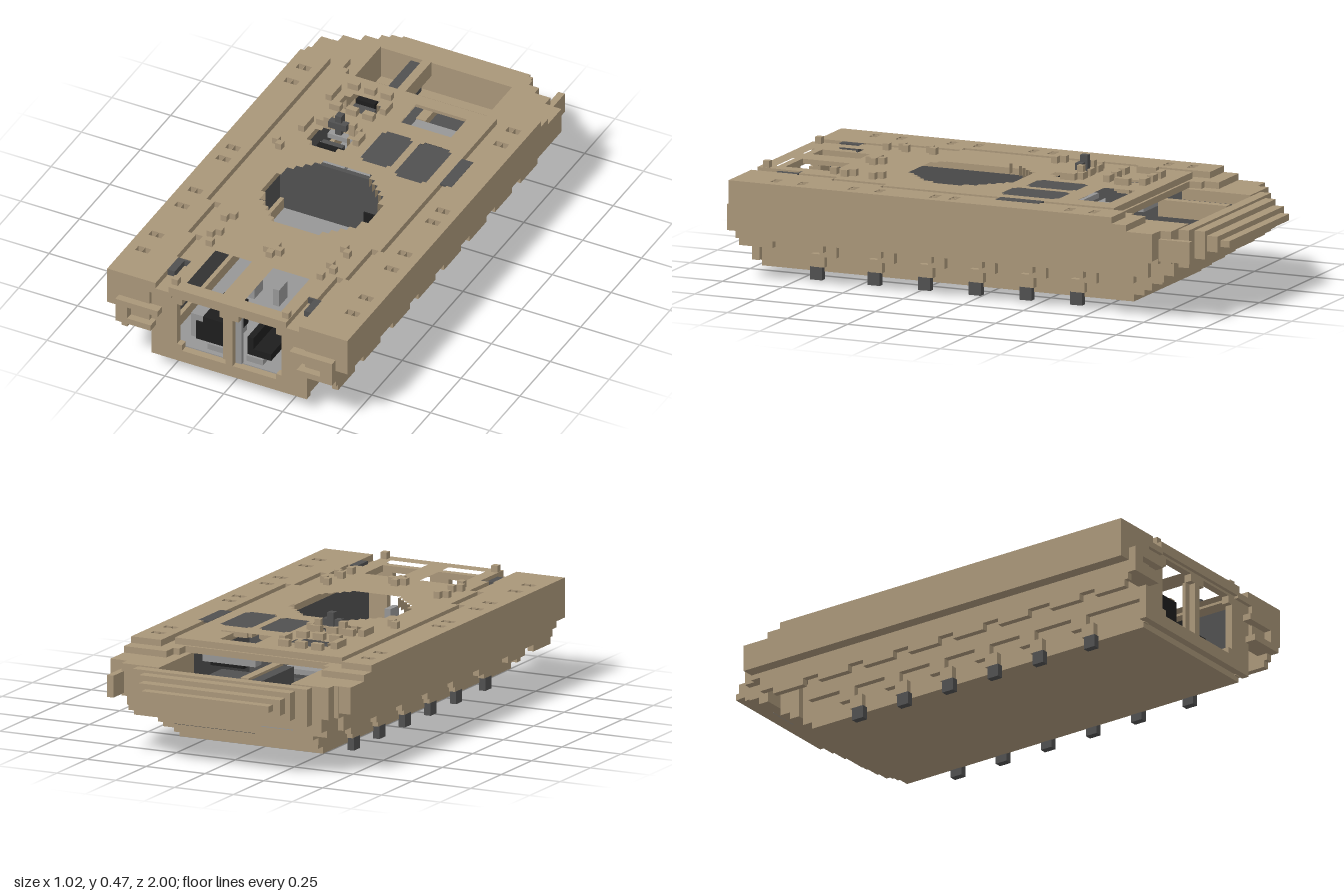
import * as THREE from 'three';

const mat = (name, color) => {
  const m = new THREE.MeshStandardMaterial({ color });
  m.name = name;
  return m;
};

export function createModel() {
  const root = new THREE.Group();
  root.name = 'armouredHull';
  const tan = mat('sandPaint', 0xa99679);
  const grey = mat('lightGreyInterior', 0x969696);
  const dark = mat('darkGreyMetal', 0x505050);
  const black = mat('blackSeat', 0x1d1d1d);

  // Box given by its limits on each axis
  const box = (name, m, x0, x1, y0, y1, z0, z1) => {
    const mesh = new THREE.Mesh(new THREE.BoxGeometry(x1 - x0, y1 - y0, z1 - z0), m);
    mesh.position.set((x0 + x1) / 2, (y0 + y1) / 2, (z0 + z1) / 2);
    mesh.name = name;
    root.add(mesh);
  };
  // The same box on both sides
  const pair = (name, m, x0, x1, ...r) => {
    box(name + 'Left', m, x0, x1, ...r);
    box(name + 'Right', m, -x1, -x0, ...r);
  };
  const poly = (pts, T = THREE.Path) => new T(pts.map(([a, b]) => new THREE.Vector2(a, b)));
  const rect = (x0, x1, z0, z1) => [[x0, -z0], [x1, -z0], [x1, -z1], [x0, -z1]];
  // Rectangle with notched corners, in deck coordinates
  const notched = (x0, x1, z0, z1, c = 0.025) => [
    [x0 + c, -z0], [x1 - c, -z0], [x1 - c, -z0 - c], [x1, -z0 - c], [x1, -z1 + c], [x1 - c, -z1 + c],
    [x1 - c, -z1], [x0 + c, -z1], [x0 + c, -z1 + c], [x0, -z1 + c], [x0, -z0 - c], [x0 + c, -z0 - c]];
  const plate = (name, m, outline, holes, y, depth) => {
    const s = poly(outline, THREE.Shape);
    holes.forEach(h => s.holes.push(poly(h)));
    const g = new THREE.ExtrudeGeometry(s, { depth, bevelEnabled: false });
    g.rotateX(-Math.PI / 2);
    const mesh = new THREE.Mesh(g, m);
    mesh.position.y = y;
    mesh.name = name;
    root.add(mesh);
  };

  // Stepped turret ring
  const ring = [];
  const V = 0.0256, R = 8.8, ringZ = 0.195;
  for (const side of [1, -1]) {
    for (let i = -8; i <= 8; i++) {
      const w = Math.round(Math.sqrt(R * R - i * i)) * V * side;
      const z = side * i * V + ringZ;
      ring.push([w, -(z - side * V / 2)], [w, -(z + side * V / 2)]);
    }
  }

  // Centre deck, its edge stepping inward to the rear
  const edge = [[0.355, -0.56], [0.355, 0.4], [0.32, 0.4], [0.32, 0.62], [0.285, 0.62],
    [0.285, 0.78], [0.25, 0.78], [0.25, 0.97]];
  const right = edge.map(([x, z]) => [x, -z]);
  const left = edge.slice().reverse().map(([x, z]) => [-x, -z]);
  const grilles = [notched(0.01, 0.14, -0.3, -0.09, 0.014), notched(0.17, 0.305, -0.3, -0.06, 0.014)];
  plate('centreDeck', tan, [...right, ...left], [ring, ...grilles,
    rect(0.04, 0.275, -0.505, -0.375), notched(-0.225, -0.065, -0.455, -0.355),
    notched(-0.225, -0.065, -0.215, -0.09), rect(-0.2, -0.045, 0.68, 0.915),
    rect(0.045, 0.2, 0.68, 0.915)], 0.355, 0.04);
  grilles.forEach((g, i) => plate('engineGrille' + i, dark, g, [], 0.386, 0.008));
  box('sideGrille', dark, 0.355, 0.405, 0.388, 0.396, -0.27, -0.09);

  // Outer decks with tie-down slots, beside the narrow channel
  const slotZ = [-0.52, -0.42, 0.06, 0.14, 0.37, 0.48, 0.69, 0.8];
  for (const s of [1, -1]) {
    const inner = edge.map(([x, z]) => [s * (x === 0.25 ? 0.305 : x + 0.028), z === -0.56 ? 0.62 : -z]);
    plate(s > 0 ? 'outerDeckLeft' : 'outerDeckRight', tan,
      [...inner, [s * 0.51, -0.97], [s * 0.51, 0.62]],
      slotZ.flatMap(z => [0.418, 0.446].map(x => rect(s * x, s * (x + 0.026), z - 0.015, z + 0.015))),
      0.37, 0.025);
  }
  pair('channelFloor', tan, 0.24, 0.4, 0.345, 0.37, -0.56, 0.97);
  pair('rearLamp', dark, 0.275, 0.305, 0.37, 0.394, 0.79, 0.87);
  pair('rearLampLens', dark, 0.25, 0.305, 0.37, 0.394, 0.782, 0.79);

  // Sponsons and hull sides
  pair('sponson', tan, 0.33, 0.51, 0.24, 0.37, -0.68, 0.97);
  pair('sponsonNose', tan, 0.33, 0.51, 0.24, 0.345, -0.79, -0.68);
  pair('upperHullSide', tan, 0.305, 0.33, 0.14, 0.37, -0.62, 0.95);
  pair('lowerHullSide', tan, 0.28, 0.305, 0.05, 0.15, -0.62, 0.93);
  pair('sideLining', dark, 0.297, 0.304, 0.15, 0.345, -0.56, 0.92);
  box('hullBottom', tan, -0.305, 0.305, 0.03, 0.08, -0.62, 0.925);
  box('interiorFloor', grey, -0.3, 0.3, 0.08, 0.105, -0.56, 0.92);

  // Hanging side skirts with a toothed lower edge
  pair('sideSkirt', tan, 0.435, 0.46, 0.163, 0.24, -0.75, 0.965);
  [0.9, 0.69, 0.45, 0.24, 0.03, -0.18, -0.39, -0.6].forEach((z, i) => {
    pair('skirtTooth' + i, tan, 0.435, 0.46, 0.137, 0.163, z - 0.09, z + 0.05);
  });

  // Rear wall with two stepped doorways
  const door = s => [[0.015, 0.105], [0.2, 0.105], [0.2, 0.13], [0.222, 0.13], [0.222, 0.315],
    [0.2, 0.315], [0.2, 0.345], [0.04, 0.345], [0.04, 0.315], [0.015, 0.315]].map(([x, y]) => [s * x, y]);
  const wall = poly([[-0.33, 0.055], [0.33, 0.055], [0.33, 0.37], [-0.33, 0.37]], THREE.Shape);
  wall.holes.push(poly(door(1)), poly(door(-1)));
  const rear = new THREE.Mesh(new THREE.ExtrudeGeometry(wall, { depth: 0.03, bevelEnabled: false }), tan);
  rear.position.z = 0.925;
  rear.name = 'rearWall';
  root.add(rear);
  box('doorFrame', grey, 0.012, 0.04, 0.105, 0.315, 0.915, 0.93);
  box('doorPost', tan, -0.04, -0.012, 0.105, 0.315, 0.915, 0.93);

  // Rear brackets
  pair('rearBracket', tan, 0.33, 0.46, 0.19, 0.24, 0.92, 0.97);
  pair('rearBox', tan, 0.41, 0.46, 0.19, 0.29, 0.965, 1);
  pair('rearBoxUpperRail', tan, 0.28, 0.42, 0.265, 0.29, 0.965, 1);
  pair('rearBoxLowerRail', tan, 0.31, 0.42, 0.19, 0.215, 0.95, 1);

  // Stepped nose: lower plates rise forward, the top narrows in plan
  const tops = [0.345, 0.345, 0.345, 0.345, 0.345, 0.34, 0.33, 0.31];
  const widths = [0.38, 0.38, 0.38, 0.46, 0.44, 0.37, 0.32, 0.3];
  const lows = [0.305, 0.33, 0.33, 0.41, 0.41];
  for (let i = 0; i < 8; i++) {
    const z1 = -0.62 - 0.043 * i, z0 = z1 - 0.043, yb = 0.057 + 0.0275 * i;
    const low = lows[i], w = widths[i];
    if (i < 5) {
      box('noseLowerPlate' + i, tan, -low, low, yb, yb + 0.04, z0, z1);
      pair('noseSide' + i, tan, 0.28, low, yb, tops[i], z0, z1);
      pair('noseShoulder' + i, tan, 0.28, w, Math.max(0.22, yb), tops[i], z0, z1);
    } else {
      box('noseStep' + i, tan, -w, w, yb, tops[i], z0, z1);
    }
  }
  box('noseTip', tan, -0.27, 0.27, 0.265, 0.29, -1, -0.964);
  pair('noseFrame', tan, 0.28, 0.4, 0.24, 0.345, -0.62, -0.55);
  box('noseBeam', tan, -0.1, -0.065, 0.28, 0.345, -0.835, -0.55);
  box('noseDivider', dark, -0.145, -0.1, 0.2, 0.335, -0.82, -0.55);
  box('deckFrontLip', tan, -0.38, 0.38, 0.345, 0.37, -0.57, -0.55);
  box('cornerBar', tan, 0.43, 0.457, 0.23, 0.315, -0.92, -0.78);

  // Engine and driver compartments
  box('engineBlock', dark, -0.06, 0.28, 0.1, 0.23, -0.71, -0.32);
  box('engineStep', tan, -0.005, 0.035, 0.22, 0.26, -0.71, -0.59);
  box('driverFloor', grey, -0.28, -0.145, 0.16, 0.2, -0.82, -0.56);
  box('driverSeat', dark, -0.26, -0.18, 0.2, 0.225, -0.7, -0.58);
  box('driverSeatBack', black, -0.25, -0.17, 0.2, 0.28, -0.605, -0.57);
  box('bulkhead', dark, -0.3, 0.3, 0.1, 0.355, -0.06, -0.04);
  box('bulkheadLocker', black, 0.06, 0.2, 0.105, 0.2, -0.04, -0.032);
  box('frontHatchShelf', grey, 0.045, 0.27, 0.3, 0.33, -0.5, -0.45);
  box('frontHatchSeat', black, 0.11, 0.25, 0.28, 0.31, -0.47, -0.38);

  // Rear seats
  box('seatRight', black, -0.145, -0.045, 0.13, 0.24, 0.71, 0.89);
  box('seatRightFront', black, -0.175, -0.145, 0.13, 0.21, 0.883, 0.89);
  box('seatRightSide', grey, -0.2, -0.147, 0.13, 0.235, 0.72, 0.882);
  box('seatRightBase', grey, -0.12, -0.045, 0.105, 0.13, 0.72, 0.9);
  box('seatLeft', black, 0.045, 0.145, 0.13, 0.16, 0.71, 0.89);
  box('seatLeftBack', black, 0.045, 0.07, 0.16, 0.21, 0.71, 0.89);
  box('seatLeftBase', grey, 0.045, 0.115, 0.105, 0.13, 0.72, 0.9);
  pair('headRest', grey, 0.04, 0.065, 0.215, 0.29, 0.6, 0.67);
  box('pivotMark', tan, -0.03, 0.03, 0.1, 0.108, 0.165, 0.225);

  // Crew hatch rings made of small blocks
  const c = 0.026;
  const block = (name, m, x, z, y = 0.395, w = c, d = c) =>
    box(name, m, x - w / 2, x + w / 2, y, y + c, z - d / 2, z + d / 2);
  for (const [z0, z1] of [[-0.49, -0.34], [-0.23, -0.15]]) {
    for (const x of [-0.215, -0.145, -0.075]) {
      block('hatchRing', tan, x, z0, 0.395, 0.045);
      if (z0 < -0.4) block('hatchRing', tan, x, z1, 0.395, 0.045);
    }
    block('hatchSide', tan, -0.265, (z0 + z1) / 2, 0.395, c, 0.08);
    block('hatchSide', tan, -0.04, (z0 + z1) / 2, 0.395, c, 0.06);
    box('hatchWell', grey, -0.225, -0.065, 0.29, 0.31, z0, z1 + 0.05);
    box('hatchSeat', dark, -0.18, -0.09, 0.31, 0.375, z0 + 0.06, z1 + 0.02);
  }
  box('hatchEdge', black, -0.18, -0.07, 0.36, 0.385, -0.135, -0.11);
  // Sight on the second hatch
  box('sightPost', dark, -0.147, -0.121, 0.39, 0.475, -0.23, -0.2);
  box('sightBar', dark, -0.172, -0.096, 0.42, 0.447, -0.22, -0.19);
  box('sightGuardInner', tan, -0.095, -0.07, 0.395, 0.445, -0.235, -0.21);
  box('sightGuardOuter', tan, -0.2, -0.172, 0.395, 0.445, -0.235, -0.21);

  // Deck fittings
  block('deckStud', tan, -0.315, -0.045);
  block('deckStud', tan, -0.289, -0.02);
  for (const s of [1, -1]) {
    for (const [x, z] of [[0.235, 0.46], [0.26, 0.485], [0.235, 0.575], [0.26, 0.6], [0.235, 0.655], [0.235, 0.935]]) {
      block('rearStud', tan, s * x, z);
    }
  }
  block('liftingEye', tan, 0, 0.59, 0.395, 0.078);
  block('liftingEye', tan, 0, 0.59, 0.394, c, 0.078);

  // Suspension arms with dark hubs
  [0.69, 0.45, 0.24, 0.03, -0.18, -0.39].forEach((z, i) => {
    pair('hub' + i, dark, 0.303, 0.33, 0, 0.05, z - 0.025, z + 0.025);
    pair('armLower' + i, tan, 0.303, 0.33, 0.05, 0.1, z - 0.035, z + 0.02);
    pair('armUpper' + i, tan, 0.303, 0.33, 0.09, 0.145, z - 0.085, z - 0.015);
  });
  return root;
}
